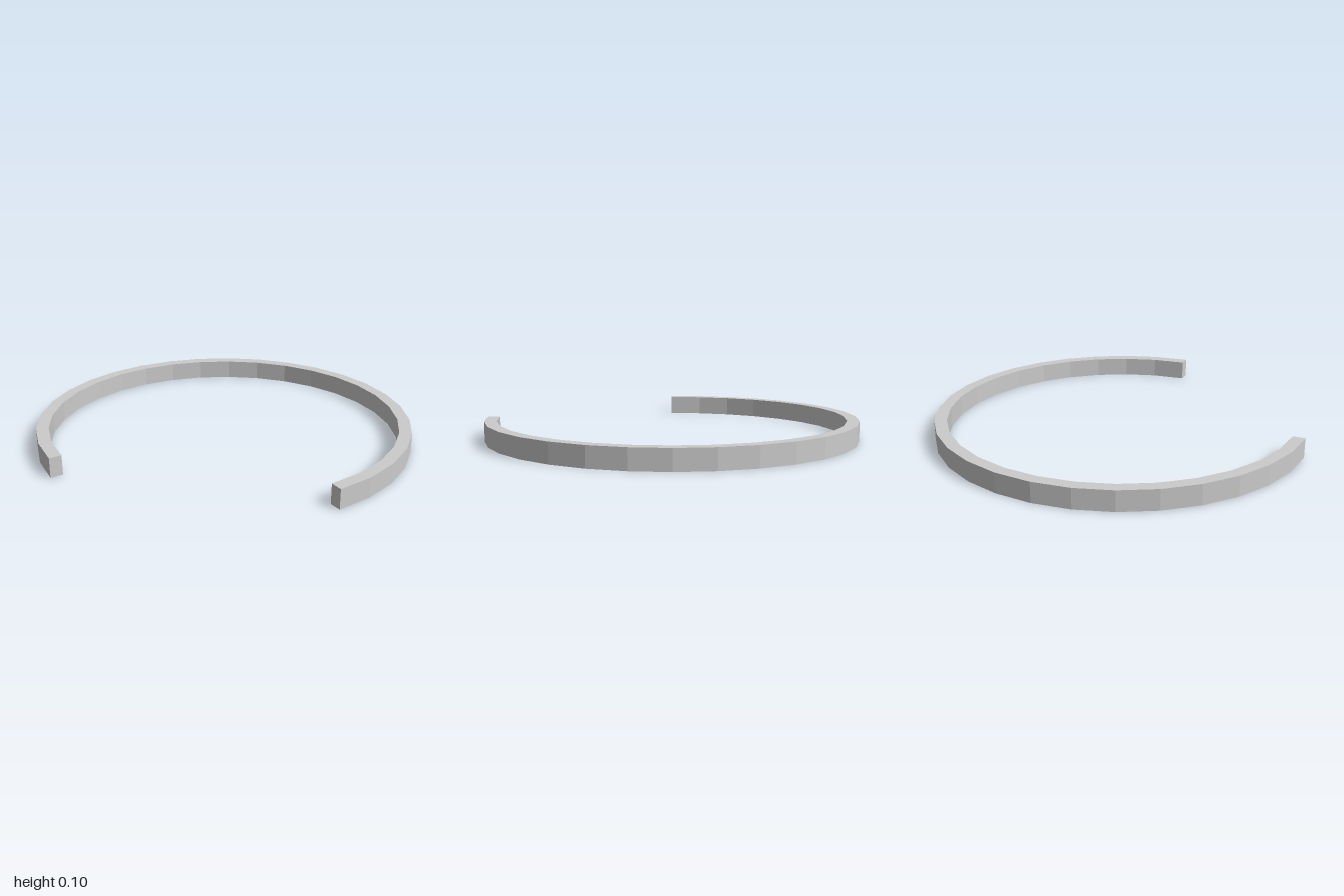
import * as THREE from 'three';

const OUTER = 1, INNER = 0.935, HEIGHT = 0.105, SEGMENTS = 24;

// Points along the three-quarter arc, from the front round to the right end
function arcPoints(radius) {
  return Array.from({ length: SEGMENTS + 1 }, (_, i) => {
    const a = -Math.PI / 2 + (i / SEGMENTS) * Math.PI * 1.5;
    return new THREE.Vector2(Math.cos(a) * radius, Math.sin(a) * radius);
  });
}

export function createModel() {
  const group = new THREE.Group();
  group.name = 'openRing';

  // Flat-sided band with square-cut ends, extruded upward
  const outline = new THREE.Shape([...arcPoints(OUTER), ...arcPoints(INNER).reverse()]);
  const geometry = new THREE.ExtrudeGeometry(outline, { depth: HEIGHT, bevelEnabled: false });
  geometry.rotateX(-Math.PI / 2);

  const band = new THREE.Mesh(
    geometry,
    new THREE.MeshStandardMaterial({ color: 0xcccccc, flatShading: true })
  );
  band.name = 'threeQuarterBand';
  group.add(band);
  return group;
}
